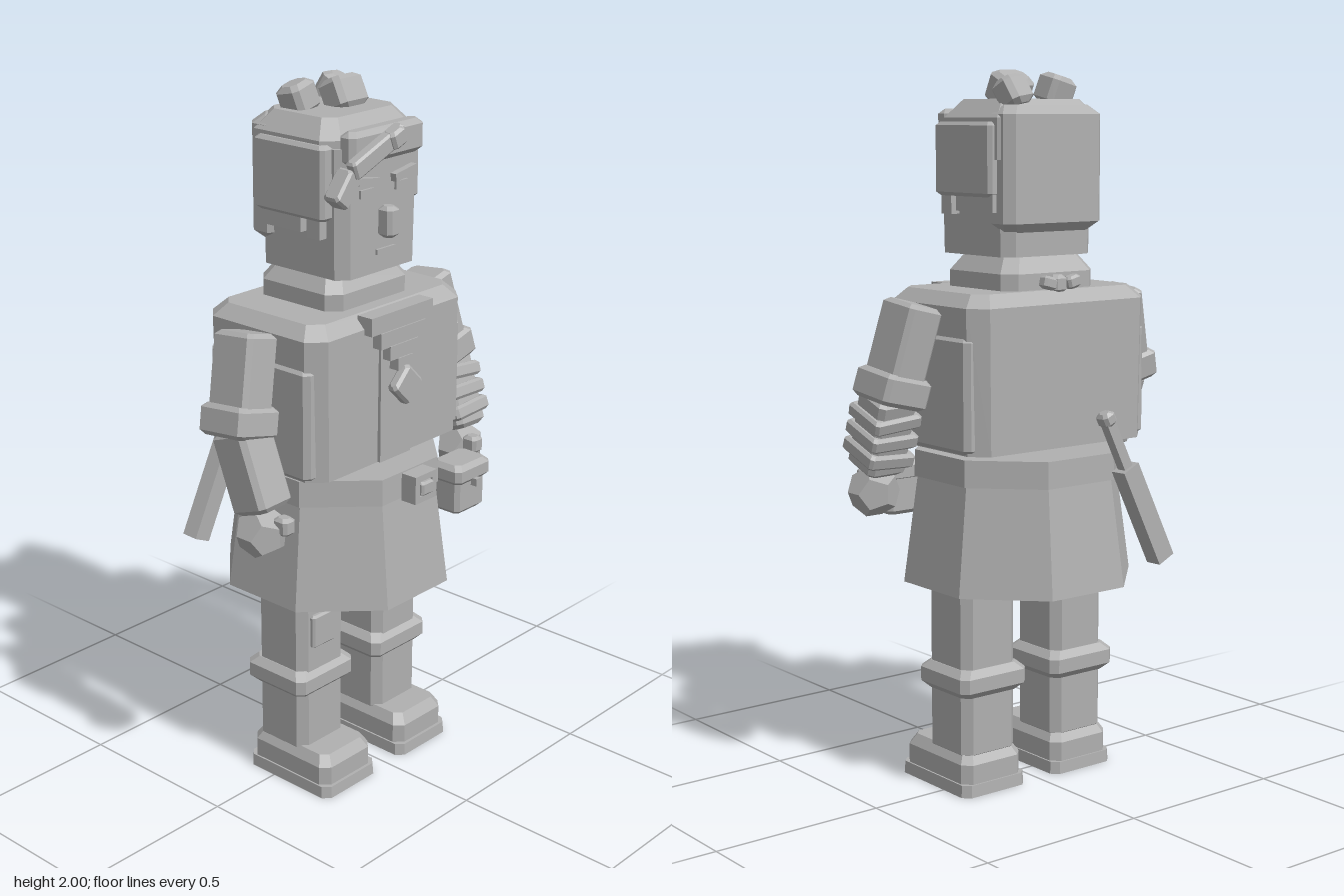
import * as THREE from 'three';

const grey = new THREE.MeshStandardMaterial({ color: 0xb0b0b0, flatShading: true, side: THREE.DoubleSide });
grey.name = 'plain grey';

// Stack of eight-sided sections [y, halfWidth, halfDepth, cornerCut, zShift]
function loft(sections, capped = true) {
  const pos = [], index = [];
  for (const [y, w, d, c, s = 0] of sections) {
    const ring = [[w, c - d], [w, d - c], [w - c, d], [c - w, d], [-w, d - c], [-w, c - d], [c - w, -d], [w - c, -d]];
    for (const [x, z] of ring) pos.push(x, y, z + s);
  }
  const n = sections.length;
  for (let k = 0; k < n - 1; k++) for (let i = 0; i < 8; i++) {
    const a = k * 8 + i, b = k * 8 + (i + 1) % 8;
    index.push(a, a + 8, b + 8, a, b + 8, b);
  }
  if (capped) for (let i = 1; i < 7; i++) {
    const t = (n - 1) * 8;
    index.push(0, i, i + 1, t, t + i + 1, t + i);
  }
  const g = new THREE.BufferGeometry();
  g.setAttribute('position', new THREE.Float32BufferAttribute(pos, 3));
  g.setIndex(index);
  const flat = g.toNonIndexed();
  flat.computeVertexNormals();
  return flat;
}

// Box with cut corners, centred on its origin
function cutBox(w, h, d, c = 0.01) {
  const x = w / 2, y = h / 2, z = d / 2;
  return loft([[-y, x - c, z - c, c], [c - y, x, z, c], [y - c, x, z, c], [y, x - c, z - c, c]]);
}

function add(parent, name, geometry, p = [0, 0, 0], r = [0, 0, 0]) {
  const m = new THREE.Mesh(geometry, grey);
  m.name = name;
  m.position.set(...p);
  m.rotation.set(...r);
  parent.add(m);
  return m;
}
const box = (w, h, d) => new THREE.BoxGeometry(w, h, d);

function buildLeg(s) {
  const leg = new THREE.Group();
  leg.name = s > 0 ? 'leftLeg' : 'rightLeg';
  leg.position.x = s * 0.16;
  add(leg, 'legPost', cutBox(0.185, 0.54, 0.185, 0.025), [0, 0.36, 0.008]);
  add(leg, 'bootCuff', cutBox(0.23, 0.08, 0.222, 0.02), [0, 0.32, 0.005]);
  add(leg, 'sole', loft([[0, 0.11, 0.157, 0.02, 0.052], [0.035, 0.108, 0.155, 0.02, 0.052]]));
  add(leg, 'bootFoot', loft([[0.035, 0.103, 0.148, 0.025, 0.05], [0.09, 0.103, 0.148, 0.025, 0.05],
    [0.12, 0.085, 0.128, 0.02, 0.05]]));
  if (s < 0) add(leg, 'kneePatch', cutBox(0.09, 0.1, 0.02, 0.006), [-0.015, 0.48, 0.105]);
  return leg;
}

function buildArm(s) {
  const arm = new THREE.Group();
  arm.name = s > 0 ? 'leftArm' : 'rightArm';
  const upper = new THREE.Group();
  upper.name = 'upperArm';
  upper.position.set(s * 0.388, 1.25, 0.018);
  upper.rotation.set(-0.11, 0, s * 0.24);
  add(upper, 'sleeve', cutBox(0.11, 0.27, 0.145, 0.012), [0, 0, 0]);
  add(upper, 'sleeveCuff', cutBox(0.148, 0.085, 0.165, 0.012), [0, -0.1, 0]);
  const lower = new THREE.Group();
  lower.name = 'foreArm';
  lower.position.set(s * 0.413, 1.03, 0.075);
  lower.rotation.set(-0.34, 0, -s * 0.03);
  add(lower, 'foreArmBlock', cutBox(0.122, 0.23, 0.125, 0.014));
  // Wrappings on one forearm only
  if (s > 0) for (let i = 0; i < 3; i++)
    add(lower, 'wrapBand', cutBox(0.148, 0.042, 0.148, 0.008), [0, 0.05 - i * 0.056, 0], [0, 0, (i - 1) * 0.07]);
  arm.add(upper, lower);
  add(arm, 'fist', new THREE.DodecahedronGeometry(0.073), [s * 0.418, 0.86, 0.112]);
  add(arm, 'thumb', cutBox(0.044, 0.05, 0.05, 0.009), [s * 0.397, 0.89, 0.175]);
  return arm;
}

function buildTorso() {
  const g = new THREE.Group();
  g.name = 'torso';
  add(g, 'jacket', loft([[0.98, 0.305, 0.21, 0.045], [1.375, 0.31, 0.213, 0.045], [1.41, 0.275, 0.178, 0.035]]));
  for (const s of [-1, 1]) add(g, 'sidePanel', cutBox(0.09, 0.32, 0.365, 0.015), [s * 0.273, 1.14, 0.003]);
  add(g, 'frontPanel', box(0.125, 0.39, 0.015), [-0.003, 1.176, 0.213]);
  // Stepped neckerchief narrowing downward
  const steps = [[0.25, 1.385, 0.05], [0.18, 1.338, 0.045], [0.115, 1.298, 0.04], [0.06, 1.262, 0.035]];
  steps.forEach(([w, y, h], i) => add(g, 'scarfStep', box(w, h, 0.05), [0, y, 0.214 + i * 0.004]));
  add(g, 'pendant', cutBox(0.086, 0.086, 0.035, 0.008), [0, 1.2, 0.25], [0, 0, Math.PI / 4]);
  add(g, 'neckCollar', loft([[1.40, 0.16, 0.148, 0.035, -0.01], [1.455, 0.16, 0.148, 0.035, -0.01],
    [1.50, 0.128, 0.118, 0.03, -0.01]]));
  add(g, 'scarfKnot', cutBox(0.05, 0.05, 0.05, 0.01), [0, 1.425, -0.165]);
  for (const s of [-1, 1]) add(g, 'knotEnd', cutBox(0.045, 0.035, 0.035, 0.007), [s * 0.042, 1.43, -0.182], [0, 0, s * 0.25]);
  return g;
}

function buildSkirt() {
  const g = new THREE.Group();
  g.name = 'skirtAndBelt';
  add(g, 'skirt', loft([[0.585, 0.308, 0.308, 0.18], [0.90, 0.268, 0.268, 0.157]], false));
  add(g, 'belt', loft([[0.885, 0.278, 0.276, 0.16], [0.96, 0.276, 0.274, 0.16]]));
  // Square buckle frame
  for (const s of [-1, 1]) {
    add(g, 'buckleSide', box(0.018, 0.08, 0.05), [s * 0.035, 0.92, 0.305]);
    add(g, 'buckleBar', box(0.088, 0.018, 0.05), [0, 0.92 + s * 0.031, 0.305]);
  }
  add(g, 'bucklePlate', cutBox(0.05, 0.04, 0.06, 0.006), [0, 0.92, 0.31]);
  // Belt pouch
  add(g, 'pouch', cutBox(0.125, 0.13, 0.1, 0.012), [0.245, 0.825, 0.245]);
  add(g, 'pouchFlap', cutBox(0.148, 0.06, 0.115, 0.014), [0.245, 0.882, 0.25]);
  add(g, 'pouchButton', box(0.02, 0.022, 0.02), [0.245, 0.855, 0.31]);
  // Slanted blade on the back
  const blade = new THREE.Group();
  blade.name = 'sheathedBlade';
  blade.position.set(-0.15, 0.87, -0.315);
  blade.rotation.set(0.03, 0, -0.44);
  add(blade, 'sheath', box(0.058, 0.3, 0.052), [0, -0.09, 0]);
  add(blade, 'grip', box(0.03, 0.15, 0.03), [0, 0.13, 0]);
  add(blade, 'pommel', cutBox(0.042, 0.04, 0.048, 0.009), [0, 0.215, 0]);
  g.add(blade);
  return g;
}

function buildHead() {
  const g = new THREE.Group();
  g.name = 'head';
  add(g, 'face', loft([[1.50, 0.155, 0.155, 0.03, 0.008], [1.85, 0.16, 0.158, 0.03, 0.008]]));
  // Hair: cap, back slab, side panels with sideburns, fringe
  add(g, 'hairCap', loft([[1.76, 0.178, 0.157, 0.04, -0.015], [1.87, 0.178, 0.157, 0.04, -0.015],
    [1.92, 0.135, 0.115, 0.03, -0.015]]));
  add(g, 'hairBack', cutBox(0.34, 0.34, 0.1, 0.025), [0, 1.735, -0.122]);
  for (const s of [-1, 1]) {
    add(g, 'hairSide', cutBox(0.05, 0.2, 0.25, 0.01), [s * 0.17, 1.76, 0.003]);
    add(g, 'hairSideStep', box(0.035, 0.05, 0.16), [s * 0.167, 1.645, -0.04]);
    add(g, 'sideburn', box(0.035, 0.08, 0.045), [s * 0.167, 1.65, 0.085]);
    add(g, 'eyebrow', box(0.085, 0.022, 0.025), [s * 0.072, 1.757, 0.172], [0, 0, s * 0.17]);
    add(g, 'eye', box(0.05, 0.022, 0.008), [s * 0.07, 1.725, 0.168]);
  }
  add(g, 'fringe', cutBox(0.29, 0.09, 0.055, 0.014), [0, 1.85, 0.16]);
  add(g, 'nose', cutBox(0.046, 0.085, 0.05, 0.01), [0, 1.64, 0.185]);
  add(g, 'mouth', box(0.075, 0.014, 0.009), [0.01, 1.557, 0.166]);
  // Slanted locks across the forehead
  add(g, 'foreheadLock', cutBox(0.21, 0.05, 0.035, 0.006), [-0.068, 1.842, 0.202], [0, 0, 0.38]);
  add(g, 'lockKnot', cutBox(0.055, 0.05, 0.045, 0.008), [-0.005, 1.868, 0.208], [0, 0, 0.38]);
  add(g, 'lockEnd', cutBox(0.095, 0.055, 0.055, 0.007), [-0.178, 1.76, 0.183], [0, 0, 0.9]);
  // Tufts on the crown
  add(g, 'tuft', cutBox(0.09, 0.085, 0.085, 0.014), [-0.073, 1.943, -0.07], [-0.2, 0, 0.25]);
  add(g, 'tuft', cutBox(0.085, 0.085, 0.075, 0.014), [0.105, 1.937, -0.108], [0.5, 0.1, -0.2]);
  add(g, 'tuft', cutBox(0.11, 0.09, 0.085, 0.014), [0.04, 1.946, -0.012], [-0.45, 0, 0]);
  return g;
}

export function createModel() {
  const model = new THREE.Group();
  model.name = 'figure';
  model.add(buildHead(), buildTorso(), buildSkirt());
  for (const s of [-1, 1]) model.add(buildLeg(s), buildArm(s));
  return model;
}
